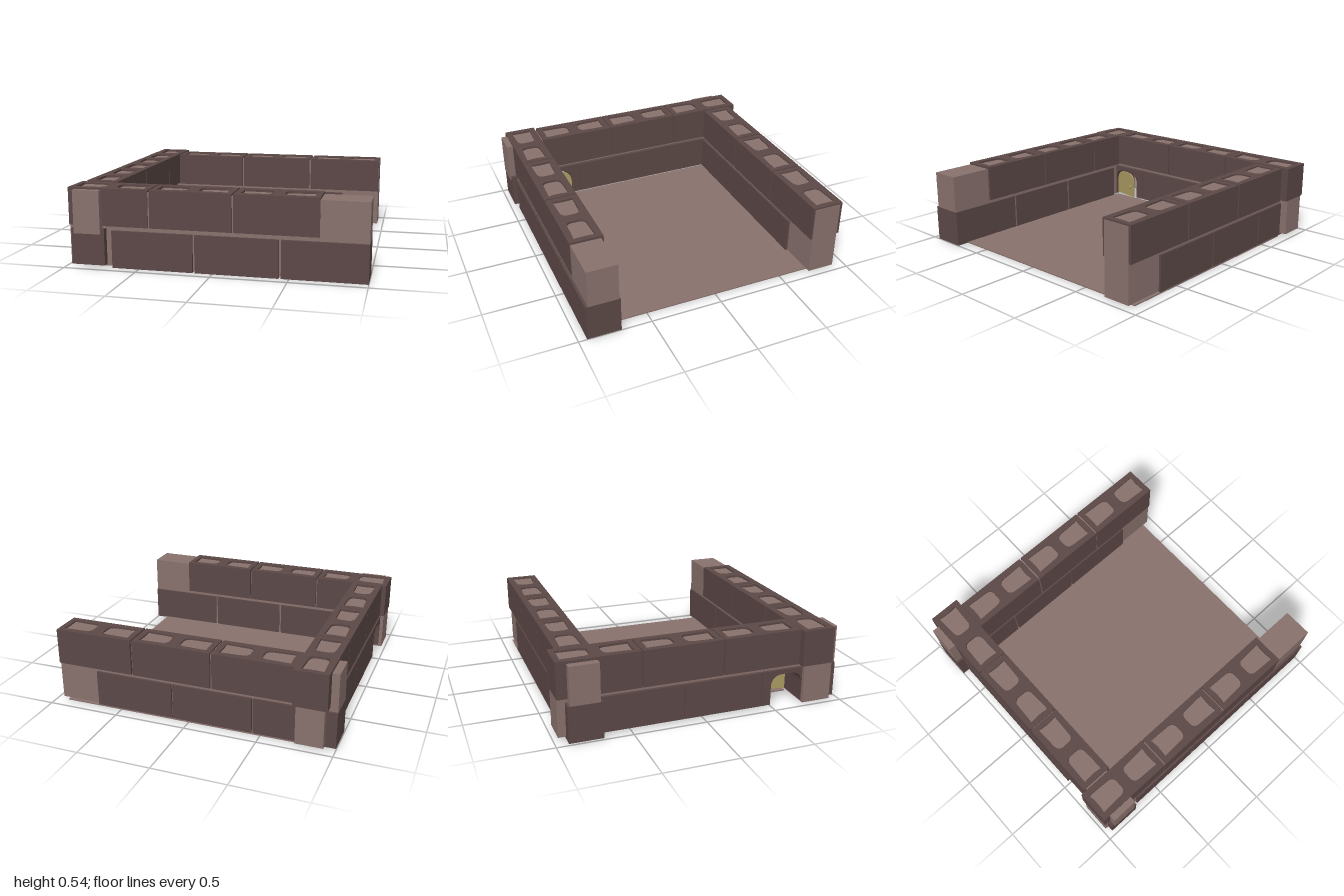
import * as THREE from 'three';

export function createModel() {
  const model = new THREE.Group();
  const brick = new THREE.MeshStandardMaterial({ color: 0x5b4846 });
  brick.name = 'dark brick';
  const mortar = new THREE.MeshStandardMaterial({ color: 0x88716d });
  mortar.name = 'pale mortar';
  const ochre = new THREE.MeshStandardMaterial({ color: 0xa89960 });
  ochre.name = 'ochre door';

  function add(name, geometry, material, parent = model) {
    const mesh = new THREE.Mesh(geometry, material);
    mesh.name = name;
    parent.add(mesh);
    return mesh;
  }
  // Box given by its limits on each axis
  function box(name, [x0, x1], [y0, y1], [z0, z1], material) {
    const g = new THREE.BoxGeometry(x1 - x0, y1 - y0, z1 - z0);
    g.translate((x0 + x1) / 2, (y0 + y1) / 2, (z0 + z1) / 2);
    return add(name, g, material);
  }

  // Hollow block: rectangle with two cells, each rounded on its inner end
  const LENGTH = 0.55;
  function cell(side) {
    const p = new THREE.Path();
    p.moveTo(side * 0.24, -0.072);
    p.lineTo(side * 0.08, -0.066);
    p.quadraticCurveTo(side * 0.045, -0.062, side * 0.04, -0.03);
    p.lineTo(side * 0.04, 0.03);
    p.quadraticCurveTo(side * 0.045, 0.062, side * 0.08, 0.066);
    p.lineTo(side * 0.24, 0.072);
    p.quadraticCurveTo(side * 0.228, 0, side * 0.24, -0.072);
    return p;
  }
  function blockGeometry(width, height) {
    const h = LENGTH / 2, w = width / 2;
    const s = new THREE.Shape([[-h, -w], [h, -w], [h, w], [-h, w]].map(([x, y]) => new THREE.Vector2(x, y)));
    s.holes.push(cell(1), cell(-1));
    return new THREE.ExtrudeGeometry(s, { depth: height, bevelEnabled: false, curveSegments: 5 }).rotateX(-Math.PI / 2);
  }
  // Row of blocks along x or z
  function row(name, axis, start, step, count, [c0, c1], [y0, y1]) {
    const group = new THREE.Group();
    group.name = name;
    const g = blockGeometry(c1 - c0, y1 - y0);
    if (axis === 'z') g.rotateY(-Math.PI / 2);
    for (let i = 0; i < count; i++) {
      const along = start + LENGTH / 2 + i * step, across = (c0 + c1) / 2;
      const block = add('block', g, brick, group);
      if (axis === 'x') block.position.set(along, y0, across);
      else block.position.set(across, y0, along);
    }
    model.add(group);
  }
  row('frontLowerRow', 'x', -0.68, 0.565, 3, [0.71, 0.942], [0.005, 0.257]);
  row('frontUpperRow', 'x', -0.98, 0.56, 3, [0.70, 0.93], [0.283, 0.535]);
  row('backLowerRow', 'x', -1.0, 0.56, 3, [-0.92, -0.695], [0.014, 0.262]);
  row('backUpperRow', 'x', -0.72, 0.5625, 3, [-0.923, -0.697], [0.285, 0.533]);
  row('sideLowerRow', 'z', -0.69, 0.555, 2, [-0.95, -0.72], [0.025, 0.27]);
  row('sideUpperRow', 'z', -0.975, 0.557, 3, [-0.948, -0.722], [0.292, 0.54]);

  // Mortar cores showing in cells, joints and stepped ends
  box('frontCore', [-0.975, 0.999], [0.015, 0.52], [0.718, 0.925], mortar);
  box('backCore', [-0.998, 0.957], [0.017, 0.522], [-0.905, -0.71], mortar);

  // Side profile in (z, y) with an arched notch, extruded through the side wall
  const arch = (s, z0, z1, y0, top, r) => {
    s.lineTo(z0, y0);
    s.lineTo(z0, top - r);
    s.quadraticCurveTo(z0, top, z0 + r, top);
    s.lineTo(z1 - r, top);
    s.quadraticCurveTo(z1, top, z1, top - r);
    s.lineTo(z1, y0);
  };
  const across = (shape, x0, x1) => new THREE.ExtrudeGeometry(shape, {
    depth: x1 - x0, bevelEnabled: false, curveSegments: 8,
  }).rotateY(-Math.PI / 2).translate(x1, 0, 0);

  const doorBlock = new THREE.Shape();
  doorBlock.moveTo(0.42, 0.025);
  arch(doorBlock, 0.484, 0.713, 0.025, 0.238, 0.085);
  doorBlock.lineTo(0.968, 0.025);
  doorBlock.lineTo(0.968, 0.27);
  doorBlock.lineTo(0.42, 0.27);
  add('doorBlock', across(doorBlock, -0.95, -0.72), brick);

  const core = new THREE.Shape();
  core.moveTo(-0.972, 0.03);
  arch(core, 0.479, 0.718, 0.03, 0.243, 0.087);
  core.lineTo(0.955, 0.03);
  core.lineTo(0.955, 0.235);
  core.lineTo(0.975, 0.235);
  core.lineTo(0.975, 0.525);
  core.lineTo(-0.972, 0.525);
  add('sideCore', across(core, -0.93, -0.745), mortar);

  // Floor slab, running under the back wall
  box('floor', [-0.735, 0.912], [0.003, 0.011], [-0.918, 0.712], mortar);

  // Small arched door, ajar on its hinge
  const door = new THREE.Group();
  door.name = 'door';
  const panel = new THREE.Shape();
  panel.moveTo(-0.215, 0);
  arch(panel, -0.215, 0, 0, 0.2, 0.085);
  add('doorPanel', across(panel, -0.006, 0.006), ochre, door);
  const knob = add('doorKnob', new THREE.SphereGeometry(0.013, 12, 8), ochre, door);
  knob.position.set(0.014, 0.085, -0.18);
  door.position.set(-0.742, 0.03, 0.705);
  door.rotation.y = -0.2;
  model.add(door);

  return model;
}
